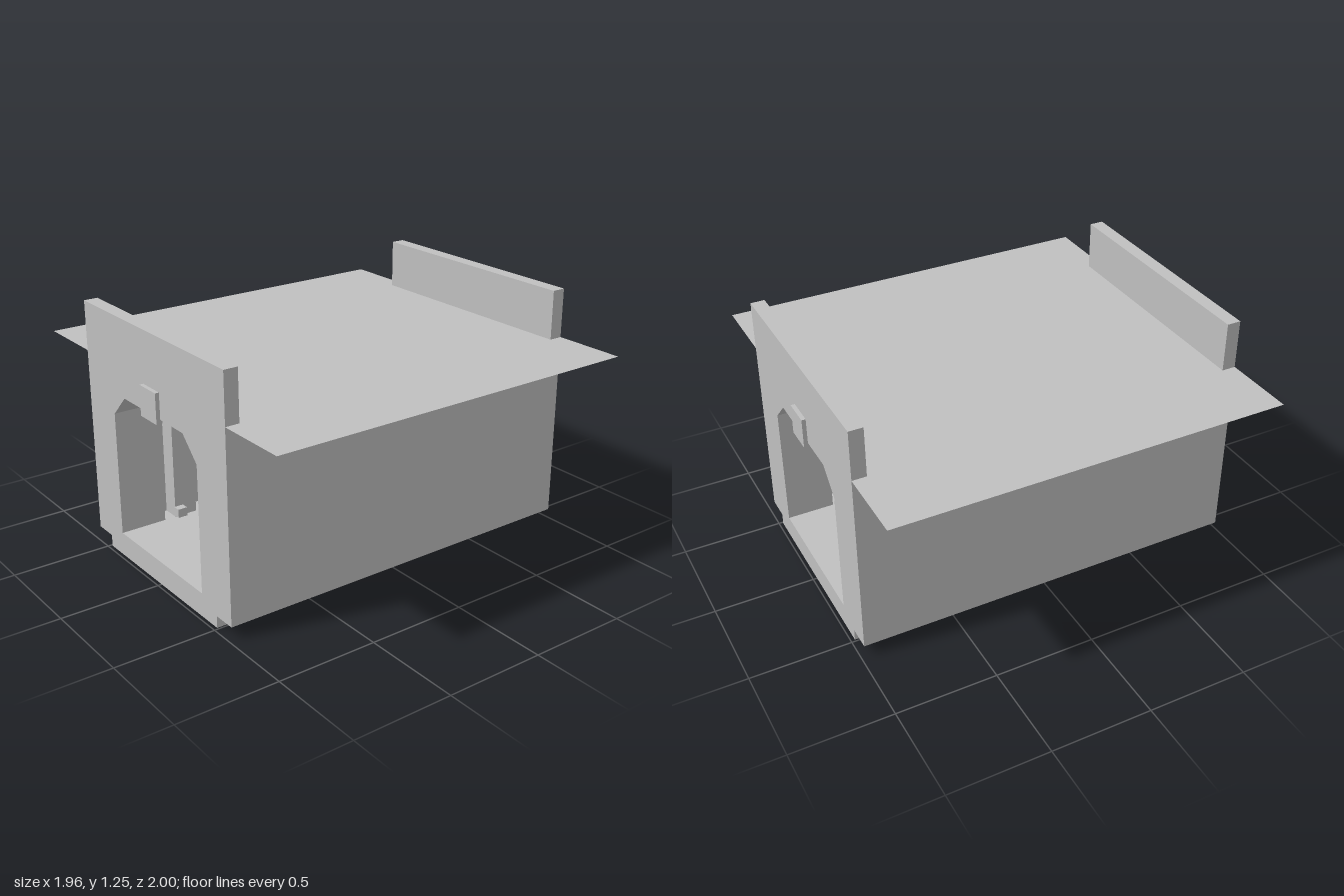
import * as THREE from 'three';

const stone = new THREE.MeshStandardMaterial({ color: 0xc0c0c0 });
stone.name = 'grey stone';
const sheet = new THREE.MeshStandardMaterial({ color: 0xc0c0c0, side: THREE.DoubleSide });
sheet.name = 'grey sheet';

// Stepped outside outline of the tunnel, with a narrower foot
const OUTER = [[-0.49, 0], [0.49, 0], [0.49, 0.06], [0.61, 0.06], [0.61, 1], [-0.61, 1], [-0.61, 0.06], [-0.49, 0.06]];
// Opening with cut upper corners
const opening = (w, h, cut) => [[-w, 0.12], [w, 0.12], [w, h - cut], [w - cut, h], [cut - w, h], [-w, h - cut]];
const NARROW = opening(0.37, 0.86, 0.11);
const WIDE = opening(0.46, 0.93, 0.1);
const points = (list) => list.map(([x, y]) => new THREE.Vector2(x, y));

export function createModel() {
  const model = new THREE.Group();
  model.name = 'tunnelSection';

  const add = (name, geometry, x = 0, y = 0, z = 0, material = stone) => {
    const mesh = new THREE.Mesh(geometry, material);
    mesh.name = name;
    mesh.position.set(x, y, z);
    model.add(mesh);
    return mesh;
  };
  const box = (name, w, h, d, x, y, z) => add(name, new THREE.BoxGeometry(w, h, d), x, y, z);
  // Extrudes an outline with a hole between two depths
  const ring = (name, outline, hole, z0, z1) => {
    const shape = new THREE.Shape(points(outline));
    shape.holes.push(new THREE.Path(points(hole)));
    add(name, new THREE.ExtrudeGeometry(shape, { depth: z1 - z0, bevelEnabled: false }), 0, 0, z0);
  };

  // Tunnel body and its two narrower portals
  ring('tunnelBody', OUTER, WIDE, -0.74, 0.74);
  ring('frontPortal', OUTER, NARROW, 0.74, 0.98);
  ring('backPortal', OUTER, NARROW, -0.98, -0.74);

  // Flat ground sheet over the tunnel
  add('groundSheet', new THREE.PlaneGeometry(1.96, 1.96).rotateX(-Math.PI / 2), 0, 1.002, 0, sheet);

  for (const end of [1, -1]) {
    // Parapet and keystone
    box('parapet', 1.22, 0.25, 0.07, 0, 1.125, end * 0.945);
    box('keystone', 0.14, 0.15, 0.03, 0, 0.915, end * 0.985);

    // Inner arch rib: pilasters and stepped ceiling
    const z = end * 0.62;
    for (const side of [1, -1]) {
      box('ribPilaster', 0.09, 0.63, 0.12, side * 0.415, 0.435, z);
    }
    const crown = new THREE.Shape(points([
      [0.46, 0.75], [0.46, 0.83], [0.36, 0.93], [-0.36, 0.93], [-0.46, 0.83],
      [-0.46, 0.75], [-0.37, 0.75], [-0.26, 0.86], [0.26, 0.86], [0.37, 0.75],
    ]));
    add('ribCrown', new THREE.ExtrudeGeometry(crown, { depth: 0.12, bevelEnabled: false }), 0, 0, z - 0.06);

    // Middle pilasters and wall rails
    for (const side of [1, -1]) {
      box('middlePilaster', 0.07, 0.71, 0.14, side * 0.425, 0.475, end * 0.14);
      box('wallRail', 0.03, 0.06, 0.35, side * 0.445, 0.36, end * 0.385);
      box('wallBlock', 0.05, 0.16, 0.12, side * 0.435, 0.7, end * 0.3);
    }
  }

  // Small loose blocks beside the track bed
  box('looseBlock', 0.04, 0.045, 0.05, -0.35, 0.153, 0.66);
  for (const [x, y, z, turn] of [[0.35, 0.145, -0.66, 0.3], [0.352, 0.155, -0.6, -0.25], [0.35, 0.145, -0.71, 0.15]]) {
    box('looseBlock', 0.03, 0.04, 0.045, x, y, z).rotation.set(turn, turn, turn / 2);
  }
  return model;
}
